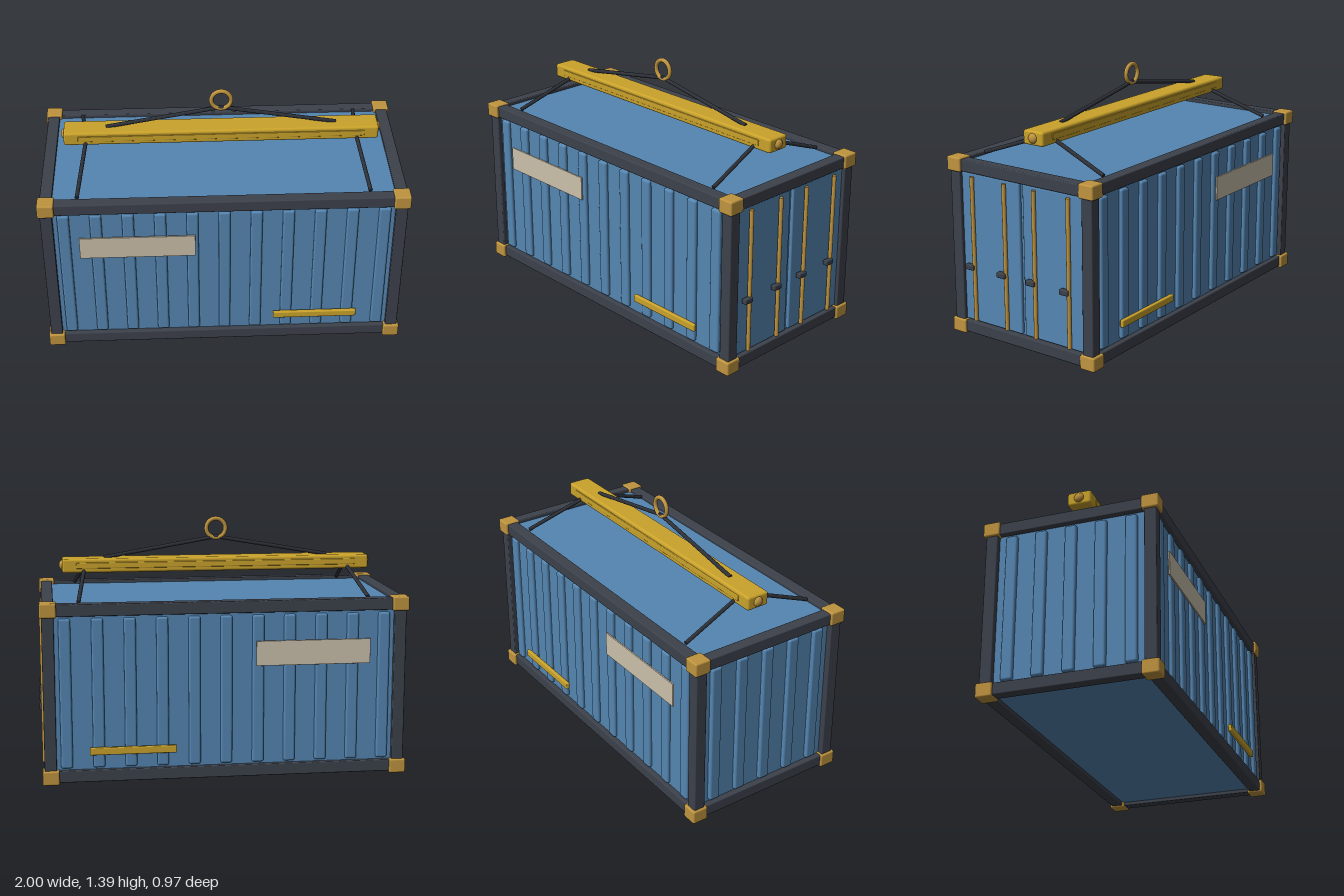
import * as THREE from 'three';
import { RoundedBoxGeometry } from 'three/addons/geometries/RoundedBoxGeometry.js';

const paint = (name, color) => {
  const m = new THREE.MeshStandardMaterial({ color });
  m.name = name;
  return m;
};

export function createModel() {
  const blue = paint('container blue', 0x5586b2);
  const steel = paint('dark frame', 0x3c414b);
  const brass = paint('brass', 0xbf943f);
  const yellow = paint('lifting yellow', 0xcaa32b);
  const cream = paint('cream plate', 0xcbc0ab);
  const strap = paint('black sling', 0x2c3037);

  const model = new THREE.Group();
  model.name = 'shippingContainer';
  const body = new THREE.Group();
  body.position.x = -0.005;
  model.add(body);

  const add = (name, geometry, material, x, y, z) => {
    const mesh = new THREE.Mesh(geometry, material);
    mesh.name = name;
    mesh.position.set(x, y, z);
    body.add(mesh);
    return mesh;
  };
  // Box with softened edges
  const box = (name, material, [w, h, d], [x, y, z], r = 0.006) =>
    add(name, new RoundedBoxGeometry(w, h, d, 2, r), material, x, y, z);
  // Round rod between two points
  const rod = (name, material, a, b, radius) => {
    const from = new THREE.Vector3(...a), to = new THREE.Vector3(...b);
    const dir = to.clone().sub(from);
    const mesh = add(name, new THREE.CylinderGeometry(radius, radius, dir.length(), 10), material,
      ...from.clone().add(to).multiplyScalar(0.5).toArray());
    mesh.quaternion.setFromUnitVectors(new THREE.Vector3(0, 1, 0), dir.normalize());
    return mesh;
  };

  const X = 0.951, Z = 0.437, LOW = 0.047, HIGH = 0.951, T = 0.065;
  const MID = (LOW + HIGH) / 2;

  // Walls, roof and floor
  add('containerBody', new THREE.BoxGeometry(1.9, 0.93, 0.886), blue, 0, 0.5, 0);

  // Frame rails, posts and corner castings
  for (const y of [LOW, HIGH]) {
    for (const s of [-1, 1]) {
      box('longRail', steel, [1.88, T, T], [0, y, s * Z]);
      box('endRail', steel, [T, T, 0.86], [s * X, y, 0]);
    }
  }
  for (const sx of [-1, 1]) {
    for (const sz of [-1, 1]) {
      box('cornerPost', steel, [T, 0.9, T], [sx * X, MID, sz * Z]);
      for (const y of [0.044, 0.953])
        box('cornerCasting', brass, [0.09, 0.078, 0.092], [sx * 0.95, y, sz * 0.438], 0.009);
    }
  }

  // Corrugation ribs, plates and bars on both long sides
  for (const s of [-1, 1]) {
    for (let i = -5; i <= 5; i++)
      box('sideRib', blue, [0.064, 0.815, 0.036], [i * 0.1727, 0.4975, s * 0.444], 0.012);
    box('sidePlate', cream, [0.626, 0.136, 0.009], [-0.472, 0.697, s * 0.4695], 0.002);
    box('sideBar', yellow, [0.468, 0.041, 0.022], [0.507, 0.185, s * 0.471], 0.006);
  }

  // Ribs on the closed end
  for (let i = -2; i <= 2; i++)
    box('endRib', blue, [0.036, 0.815, 0.064], [-0.954, 0.4975, i * 0.165], 0.012);

  // Doors with locking rods and handles
  for (const s of [-1, 1])
    box('door', blue, [0.03, 0.83, 0.394], [0.953, 0.5, s * 0.208], 0.008);
  for (const z of [0.32, 0.1, -0.098, -0.32]) {
    rod('lockingRod', brass, [0.983, 0.095, z], [0.983, 0.9, z], 0.0115);
    box('lockHandle', steel, [0.03, 0.03, 0.056], [0.99, 0.4, z + 0.022], 0.006);
  }

  // Spreader beam with raised strips and domed end pins
  box('spreaderBeam', yellow, [1.725, 0.078, 0.132], [0, 1.131, 0], 0.013);
  for (const s of [-1, 1]) {
    box('beamStrip', yellow, [1.57, 0.033, 0.012], [0, 1.133, s * 0.064], 0.004);
    const pin = add('endPin', new THREE.SphereGeometry(0.028, 20, 12), brass, s * 0.859, 1.131, 0);
    pin.scale.x = 0.75;
  }

  // Slings from the ring to the beam, and from the beam to the roof
  for (const sx of [-1, 1]) {
    rod('upperSling', strap, [0, 1.278, 0], [sx * 0.63, 1.17, 0], 0.011);
    for (const sz of [-1, 1])
      rod('lowerSling', strap, [sx * 0.742, 1.108, sz * 0.045], [sx * 0.785, 0.982, sz * 0.395], 0.011);
  }

  // Lifting ring
  add('liftingRing', new THREE.TorusGeometry(0.054, 0.012, 12, 36), brass, 0, 1.325, 0);

  return model;
}
